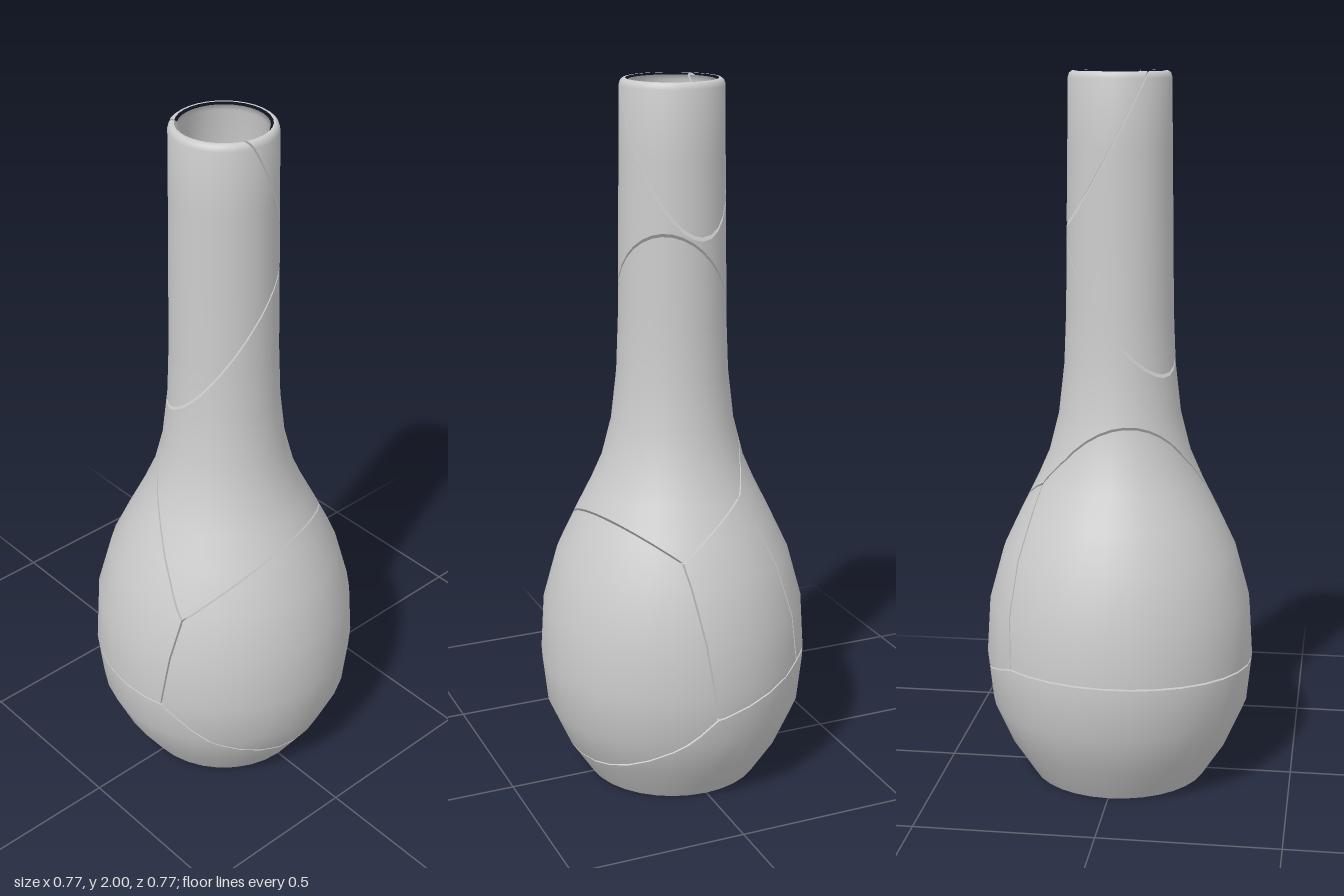
import * as THREE from 'three';

const SIDES = 32, WALL = 0.028, GAP = 0.0025;

// Outer profile [radius, height]: base centre, base edge, bulb, neck, rim
const OUTER = [[0, 0], [0.25, 0], [0.315, 0.1], [0.368, 0.22], [0.383, 0.36], [0.373, 0.52], [0.332, 0.67],
  [0.28, 0.78], [0.235, 0.87], [0.2, 0.95], [0.172, 1.06], [0.156, 1.2], [0.15, 1.35], [0.147, 1.6],
  [0.144, 1.8], [0.142, 1.982], [0.138, 1.995], [0.131, 2]];

// Affine function [a, b, c, d] (ax + by + cz + d) taking given values at four points
function affine(points, values) {
  const m = new THREE.Matrix4().set(...points.flatMap(p => [...p, 1])).invert();
  return new THREE.Vector4(...values).applyMatrix4(m).toArray();
}
const at = (f, p) => f[0] * p[0] + f[1] * p[1] + f[2] * p[2] + f[3];
const add = (f, g, s = 1) => f.map((v, i) => v + s * g[i]);

// Each shard is the region where its affine function is the greatest
function shardFunctions() {
  // points where three cracks meet, and one more point on each of three cracks
  const j1 = [0.16, 0.64, 0.3], j2 = [0.13, 0.34, 0.36], j3 = [0.09, 0.73, -0.275];
  const j4 = [-0.115, 0.87, -0.2], j5 = [0.02, 0.29, -0.38], j6 = [-0.27, 0.375, -0.27];
  const side = [-0.385, 0.375, 0], low = [0.315, 0.09, -0.06], high = [-0.175, 1.04, 0];
  const base = [0, 0, 0, 0];
  const front = affine([j2, side, j6, j1], [0, 0, 0, 1]);
  const left = affine([j2, low, j5, j1], [0, 0, 0, 1]);
  const back = affine([j5, j6, j4, j3], [0, 0, at(front, j4), at(left, j3)]);
  const shoulder = affine([j1, j3, j4, high], [1, at(left, j3), at(front, j4), at(front, high)]);
  const neck = add(shoulder, [-0.7, 1, 1.2, -1.4], 5);
  const rim = add(neck, [-0.435, 1, -1.9, -1.875], 5);
  return { baseShard: base, frontShard: front, leftShard: left, backShard: back,
    shoulderShard: shoulder, neckShard: neck, rimShard: rim };
}

// Averaged profile normals, with a crease at the base edge
function profileNormals() {
  const steps = OUTER.slice(1).map((p, i) =>
    new THREE.Vector2(p[1] - OUTER[i][1], OUTER[i][0] - p[0]).normalize());
  return OUTER.map((_, i) => {
    if (i === 0) return steps[0];
    if (i === 1) return steps[1];
    return steps[i - 1].clone().add(steps[i] || new THREE.Vector2(0, 1)).normalize();
  });
}

// The wall as small convex blocks; only faces on the real surface are shown
function wallBlocks() {
  const normals = profileNormals();
  const last = OUTER.length - 1;
  const inner = OUTER.map(([r, y], i) => {
    if (i < 2) return [r * 0.92, 0.03];
    if (i > last - 3) return [[0.115, 1.982], [0.118, 1.995], [0.125, 2]][i - last + 2];
    return [r - normals[i].x * WALL, y - normals[i].y * WALL];
  });
  const vertex = ([r, y], n, sign, k) => {
    const a = k / SIDES * Math.PI * 2, s = Math.sin(a), c = Math.cos(a);
    return [r * s, y, r * c, sign * n.x * s, sign * n.y, sign * n.x * c];
  };
  const up = new THREE.Vector2(0, 1), down = new THREE.Vector2(0, -1);
  const blocks = [];
  for (let i = 0; i < last; i++) for (let k = 0; k < SIDES; k++) {
    const n0 = i ? normals[i] : down, n1 = i ? normals[i + 1] : down;
    const corners = (profile, sign) => [vertex(profile[i], n0, sign, k), vertex(profile[i], n0, sign, k + 1),
      vertex(profile[i + 1], n1, sign, k + 1), vertex(profile[i + 1], n1, sign, k)];
    const o = corners(OUTER, 1), n = corners(inner, -1);
    const top = [o[3], o[2], n[2], n[3]].map(v => [v[0], v[1], v[2], 0, up.y, 0]);
    blocks.push([
      { pts: o, shown: true }, { pts: n, shown: true },
      { pts: top, shown: i === last - 1 },
      { pts: [o[0], o[1], n[1], n[0]], shown: false },
      { pts: [o[0], o[3], n[3], n[0]], shown: false },
      { pts: [o[1], o[2], n[2], n[1]], shown: false }]);
  }
  return blocks;
}

// Keep the part of a convex block where the unit plane is positive, closing the cut
function clip(faces, plane) {
  const kept = [], cut = [];
  for (const { pts, shown } of faces) {
    const out = [];
    pts.forEach((p, i) => {
      const q = pts[(i + 1) % pts.length], dp = at(plane, p), dq = at(plane, q);
      if (dp >= 0) out.push(p);
      if ((dp >= 0) !== (dq >= 0)) {
        const t = dp / (dp - dq), mid = p.map((v, j) => v + (q[j] - v) * t);
        out.push(mid);
        cut.push(mid);
      }
    });
    if (out.length > 2) kept.push({ pts: out, shown });
  }
  if (cut.length > 2) {
    const n = new THREE.Vector3(...plane.slice(0, 3));
    const u = new THREE.Vector3(n.y, n.z, n.x).cross(n).normalize(), v = n.clone().cross(u);
    const centre = new THREE.Vector3();
    cut.forEach(p => centre.add(new THREE.Vector3(p[0], p[1], p[2]).divideScalar(cut.length)));
    const angle = p => {
      const d = new THREE.Vector3(p[0], p[1], p[2]).sub(centre);
      return Math.atan2(d.dot(v), d.dot(u));
    };
    const pts = cut.map(p => [p[0], p[1], p[2], -n.x, -n.y, -n.z]).sort((a, b) => angle(a) - angle(b));
    kept.push({ pts, shown: true });
  }
  return kept;
}

// Fan triangles, turned to agree with their normals
function shardGeometry(blocks, planes) {
  const position = [], normal = [];
  for (const block of blocks) {
    const faces = planes.reduce((f, plane) => f.length ? clip(f, plane) : f, block);
    for (const { pts } of faces.filter(f => f.shown)) {
      for (let i = 1; i < pts.length - 1; i++) {
        const tri = [pts[0], pts[i], pts[i + 1]];
        const [a, b, c] = tri.map(p => new THREE.Vector3(p[0], p[1], p[2]));
        const g = b.sub(a).cross(c.sub(a));
        if (g.length() < 1e-10) continue;
        const facing = tri.reduce((s, p) => s + g.x * p[3] + g.y * p[4] + g.z * p[5], 0);
        if (facing < 0) tri.reverse();
        for (const p of tri) {
          position.push(p[0], p[1], p[2]);
          normal.push(p[3], p[4], p[5]);
        }
      }
    }
  }
  const geometry = new THREE.BufferGeometry();
  geometry.setAttribute('position', new THREE.Float32BufferAttribute(position, 3));
  geometry.setAttribute('normal', new THREE.Float32BufferAttribute(normal, 3));
  geometry.normalizeNormals();
  return geometry;
}

export function createModel() {
  const group = new THREE.Group();
  group.name = 'crackedVase';
  const material = new THREE.MeshStandardMaterial({ color: 0xcccccc });
  const blocks = wallBlocks(), shards = shardFunctions();
  for (const [name, f] of Object.entries(shards)) {
    // a narrow gap is left along each crack
    const planes = Object.values(shards).filter(g => g !== f).map(g => {
      const d = add(f, g, -1), length = Math.hypot(d[0], d[1], d[2]);
      const plane = d.map(v => v / length);
      plane[3] -= GAP;
      return plane;
    });
    const mesh = new THREE.Mesh(shardGeometry(blocks, planes), material);
    mesh.name = name;
    group.add(mesh);
  }
  return group;
}
